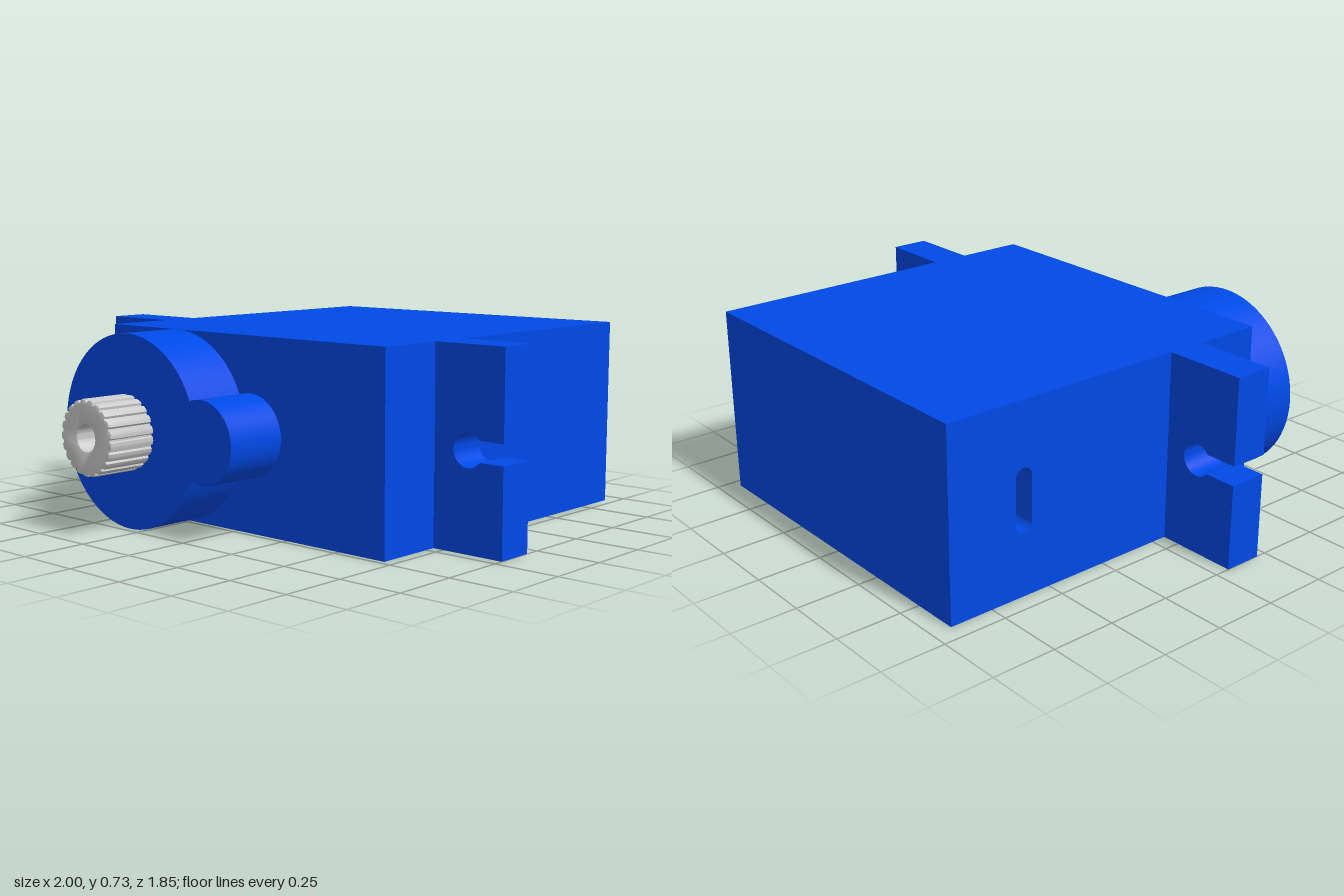
import * as THREE from 'three';
import { toCreasedNormals } from 'three/addons/utils/BufferGeometryUtils.js';

const MID_X = 0.014, MID_Y = 0.364, HEIGHT = 0.728;

export function createModel() {
  const group = new THREE.Group();
  const blue = new THREE.MeshStandardMaterial({ color: 0x004aea });
  blue.name = 'casingBlue';
  const grey = new THREE.MeshStandardMaterial({ color: 0xcbcbcb });
  grey.name = 'shaftGrey';

  const add = (name, geometry, material) => {
    const mesh = new THREE.Mesh(geometry, material);
    mesh.name = name;
    group.add(mesh);
    return mesh;
  };
  const extrude = (shape, depth, options = {}) => toCreasedNormals(
    new THREE.ExtrudeGeometry(shape, { depth, bevelEnabled: false, curveSegments: 32, ...options }), 0.5);

  // Main casing: a solid block closed by a side wall with a cable slot
  const left = -0.68, right = 0.708, back = -0.923, front = 0.478, wall = 0.15;
  const block = new THREE.BoxGeometry(right - left - wall, HEIGHT, front - back);
  block.translate((left + wall + right) / 2, MID_Y, (front + back) / 2);
  add('casing', block, blue);

  const side = new THREE.Shape();
  side.moveTo(back, 0);
  side.lineTo(front, 0);
  side.lineTo(front, HEIGHT);
  side.lineTo(back, HEIGHT);
  side.closePath();
  const slot = new THREE.Path();
  slot.absarc(-0.61, MID_Y + 0.085, 0.035, 0, Math.PI, false);
  slot.absarc(-0.61, MID_Y - 0.085, 0.035, Math.PI, Math.PI * 2, false);
  slot.closePath();
  side.holes.push(slot);
  const sideWall = extrude(side, wall);
  sideWall.rotateY(-Math.PI / 2).translate(left + wall, 0, 0);
  add('cableSlotWall', sideWall, blue);

  // Mounting ears with keyhole notches, drawn around the casing's middle
  const ear = (name, outer, angle) => {
    const inner = 0.694, hole = 0.8385, r = 0.062, half = 0.0375;
    const a = Math.asin(half / r);
    const s = new THREE.Shape();
    s.moveTo(inner, -MID_Y);
    s.lineTo(outer, -MID_Y);
    s.lineTo(outer, -half);
    s.absarc(hole, 0, r, -a, a - Math.PI * 2, true);
    s.lineTo(outer, half);
    s.lineTo(outer, MID_Y);
    s.lineTo(inner, MID_Y);
    s.closePath();
    const mesh = add(name, extrude(s, 0.15), blue);
    mesh.position.set(MID_X, MID_Y, 0.06);
    mesh.rotation.z = angle;
  };
  ear('leftEar', 1 - MID_X, 0);
  ear('rightEar', 1 + MID_X, Math.PI);

  // Gear housing: a large round and a small round merged in one outline
  const bigX = -0.316, bigR = 0.364, smallX = 0.072, smallR = 0.154;
  const housingFront = 0.724;
  const gap = smallX - bigX;
  const along = (gap * gap + bigR * bigR - smallR * smallR) / (2 * gap);
  const bigA = Math.acos(along / bigR), smallA = Math.acos((along - gap) / smallR);
  const outline = new THREE.Shape();
  outline.absarc(bigX, MID_Y, bigR, bigA, Math.PI * 2 - bigA, false);
  outline.absarc(smallX, MID_Y, smallR, -smallA, smallA, false);
  outline.closePath();
  const housing = extrude(outline, housingFront - front);
  housing.translate(0, 0, front);
  add('gearHousing', housing, blue);

  // Splined output shaft: broad teeth, narrow shallow grooves and a bore
  const teeth = 21, bevel = 0.006;
  const profile = [];
  for (let i = 0; i < teeth; i++) {
    for (const [t, r] of [[0, 0.132], [0.16, 0.132], [0.26, 0.14], [0.58, 0.142], [0.9, 0.14]]) {
      const a = (i + t) / teeth * Math.PI * 2;
      profile.push(new THREE.Vector2(Math.cos(a) * r, Math.sin(a) * r));
    }
  }
  const spline = new THREE.Shape(profile);
  const bore = new THREE.Path();
  bore.absarc(0, 0, 0.05, 0, Math.PI * 2, true);
  spline.holes.push(bore);
  const shaft = extrude(spline, 0.199 - 2 * bevel, {
    bevelEnabled: true, bevelSize: bevel, bevelThickness: bevel, bevelOffset: -bevel, bevelSegments: 2,
  });
  shaft.translate(bigX, MID_Y, housingFront + bevel);
  add('outputShaft', shaft, grey);

  return group;
}
